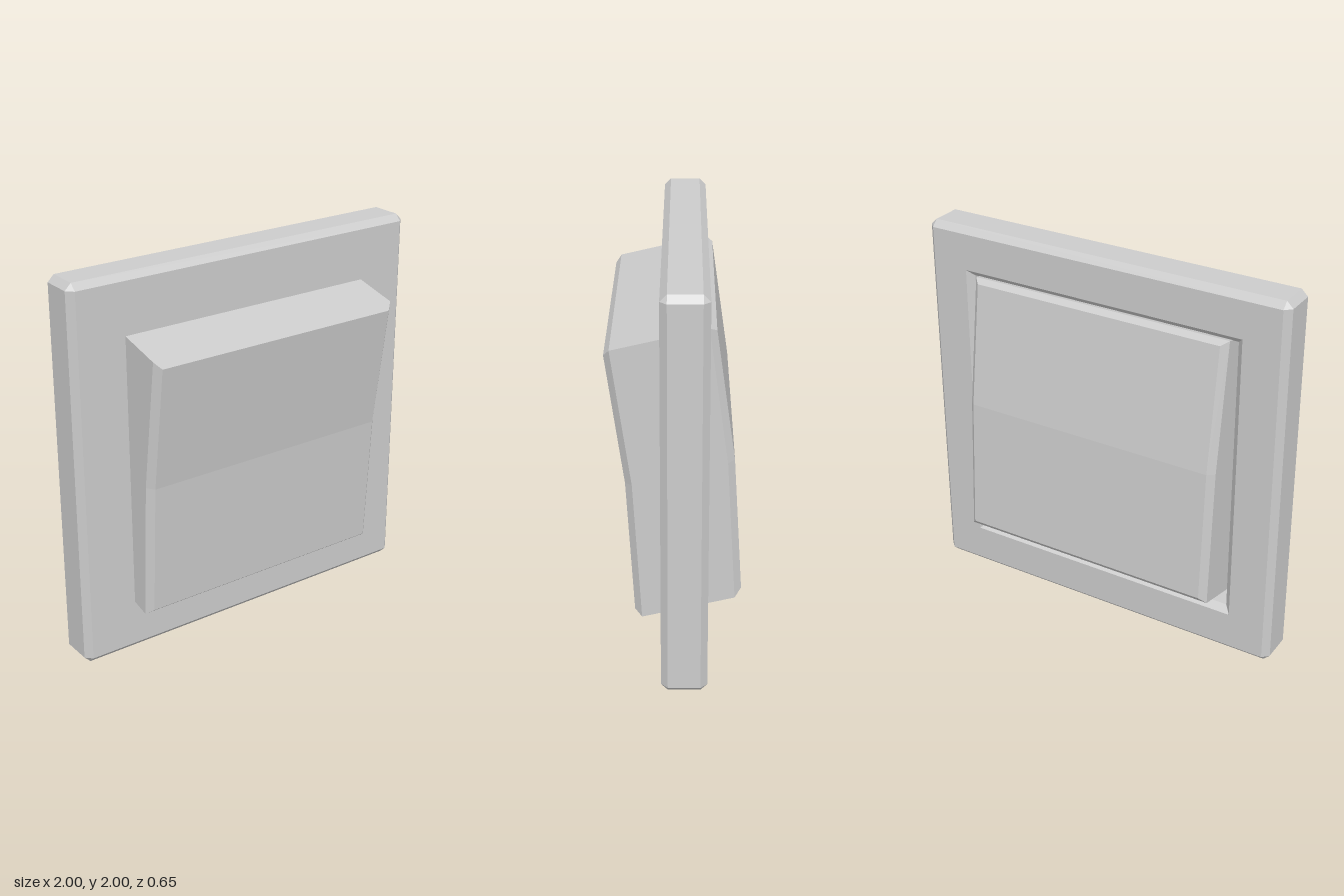
import * as THREE from 'three';

const material = new THREE.MeshStandardMaterial({ color: 0xcccccc, flatShading: true });

// Builds a flat-shaded mesh from quads, dropping collapsed triangles
function quadMesh(name, quads) {
  const pos = [];
  const tri = (a, b, c) => {
    if (new THREE.Triangle(a, b, c).getArea() < 1e-7) return;
    for (const p of [a, b, c]) pos.push(p.x, p.y, p.z);
  };
  for (const [a, b, c, d] of quads) { tri(a, b, c); tri(a, c, d); }
  const geometry = new THREE.BufferGeometry();
  geometry.setAttribute('position', new THREE.Float32BufferAttribute(pos, 3));
  geometry.computeVertexNormals();
  const mesh = new THREE.Mesh(geometry, material);
  mesh.name = name;
  return mesh;
}

// Quads joining consecutive rings (each counter-clockwise seen from the front)
function loft(rings) {
  const quads = [];
  for (let i = 0; i + 1 < rings.length; i++) {
    const a = rings[i], b = rings[i + 1], n = a.length;
    for (let j = 0; j < n; j++) {
      const k = (j + 1) % n;
      quads.push([a[j], b[j], b[k], a[k]]);
    }
  }
  return quads;
}

// Square ring of half-width h at depth z, its corners cut by c
function squareRing(h, z, c = 0) {
  const ring = [];
  for (let i = 0; i < 4; i++) {
    for (const [x, y] of [[h, h - c], [h - c, h]]) {
      const p = new THREE.Vector3(x, y, z).applyAxisAngle(new THREE.Vector3(0, 0, 1), i * Math.PI / 2);
      p.y += 1;
      ring.push(p);
    }
  }
  return ring;
}

// Ring of the rocker: half-width plus [y, z] of its bottom, bend and top
function rockerRing(w, profile) {
  const right = profile.map(([y, z]) => new THREE.Vector3(w, y, z));
  const left = profile.map(([y, z]) => new THREE.Vector3(-w, y, z)).reverse();
  return [...right, ...left];
}

export function createModel() {
  const group = new THREE.Group();
  group.name = 'rockerSwitch';

  // Bevelled square frame with an opening that widens at the back
  const bevel = 0.033;
  const lip = squareRing(0.70, 0.065);
  group.add(quadMesh('frame', loft([
    lip,
    squareRing(1 - bevel, 0.065),
    squareRing(1, 0.065 - bevel, bevel),
    squareRing(1, -0.157 + bevel, bevel),
    squareRing(1 - bevel, -0.157),
    squareRing(0.775, -0.157),
    squareRing(0.742, -0.124),
    squareRing(0.742, 0.03),
    lip,
  ])));

  // Tilted rocker, bent across the middle and bevelled front and back
  const rings = [
    rockerRing(0.68, [[0.277, 0.195], [0.965, 0.235], [1.61, 0.325]]),
    rockerRing(0.713, [[0.25, 0.16], [0.97, 0.202], [1.645, 0.298]]),
    rockerRing(0.713, [[0.36, -0.29], [1.085, -0.248], [1.752, -0.157]]),
    rockerRing(0.68, [[0.397, -0.322], [1.09, -0.281], [1.732, -0.191]]),
  ];
  const f = rings[0], b = rings[3];
  group.add(quadMesh('rocker', [
    ...loft(rings),
    [f[0], f[1], f[4], f[5]], [f[1], f[2], f[3], f[4]],
    [b[5], b[4], b[1], b[0]], [b[4], b[3], b[2], b[1]],
  ]));

  return group;
}
